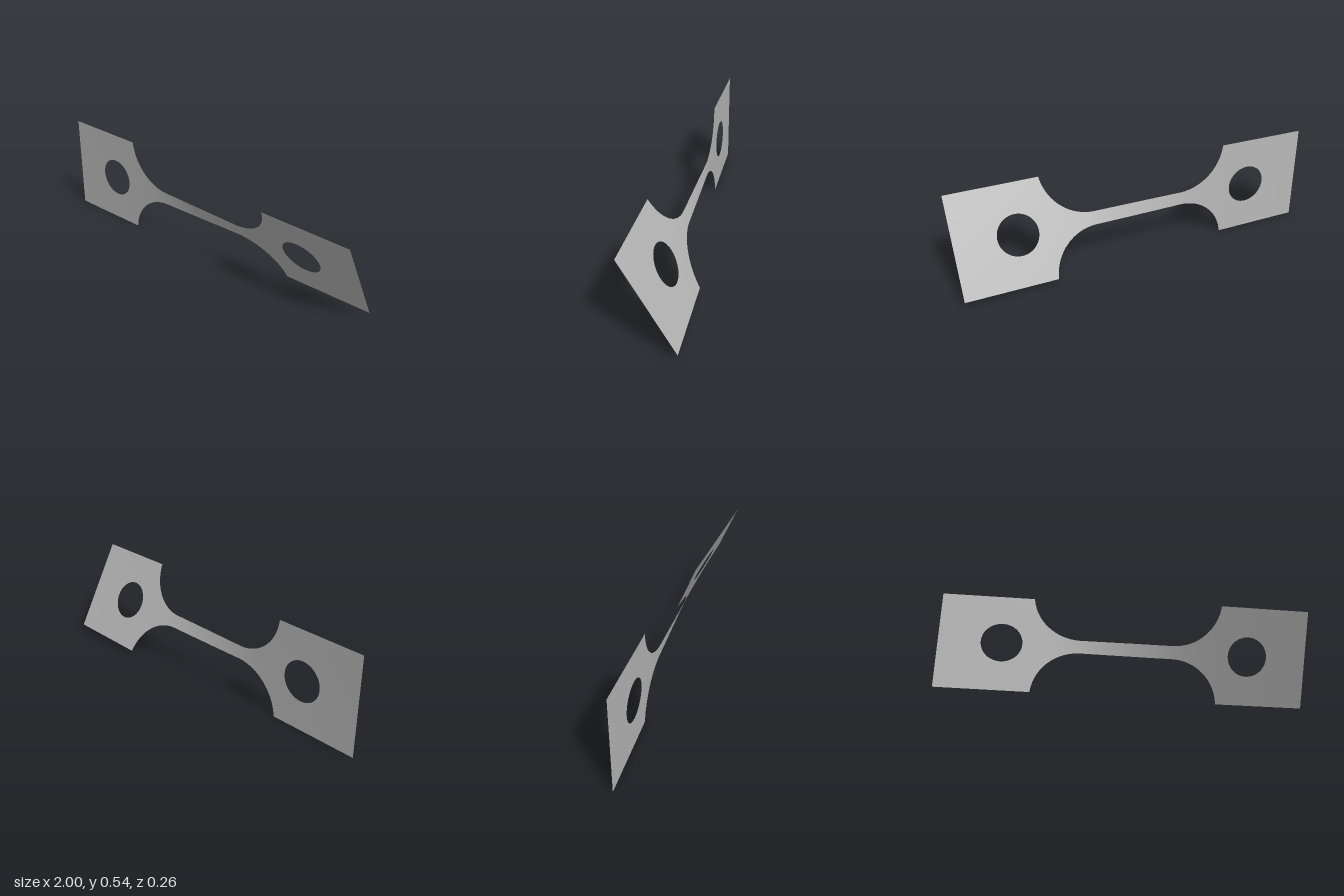
import * as THREE from 'three';
import { mergeVertices } from 'three/addons/utils/BufferGeometryUtils.js';

const HALF = 0.271;        // half height of the grips
const NECK = 0.036;        // half height of the neck
const R = 0.26;            // shoulder radius
const NECK_END = 0.25;     // where the shoulders begin
const HOLE_X = 0.67, HOLE_R = 0.109;
const TWIST = THREE.MathUtils.degToRad(28.9);
const ARC = Math.acos(1 - (HALF - NECK) / R);
const GRIP_START = NECK_END + R * Math.sin(ARC);

// Half height of the plate at x
function halfHeight(x) {
  const d = Math.abs(x) - NECK_END;
  if (d <= 0) return NECK;
  if (Math.abs(x) >= GRIP_START - 1e-9) return HALF;
  return NECK + R - Math.sqrt(R * R - d * d);
}

// Half height of the hole at x
function holeHeight(x) {
  const d = Math.abs(x) - HOLE_X;
  return Math.sqrt(Math.max(0, HOLE_R * HOLE_R - d * d));
}

// Narrow sections twist more: accumulate the twist along x
const STEPS = 400;
const twist = [0];
for (let i = 0; i < STEPS; i++) {
  const x = -1 + (2 * (i + 0.5)) / STEPS;
  twist.push(twist[i] + Math.pow(halfHeight(x), -1.3));
}
function angleAt(x) {
  const f = THREE.MathUtils.clamp(((x + 1) / 2) * STEPS, 0, STEPS);
  const i = Math.min(STEPS - 1, Math.floor(f));
  return (TWIST * THREE.MathUtils.lerp(twist[i], twist[i + 1], f - i)) / twist[STEPS];
}

// n + 1 values of f(t) for t from 0 to 1
const sample = (n, f) => Array.from({ length: n + 1 }, (_, i) => f(i / n));

// Twisted sheet over the given columns, as an upper and a lower strip
function sheet(columns, rows = 8) {
  const pos = [], index = [];
  for (const side of [1, -1]) {
    const base = pos.length / 3;
    columns.forEach((x, i) => {
      const a = angleAt(x), inner = holeHeight(x), outer = halfHeight(x);
      for (let j = 0; j <= rows; j++) {
        const v = side * THREE.MathUtils.lerp(inner, outer, j / rows);
        pos.push(x, HALF + v * Math.cos(a), v * Math.sin(a));
        if (i === 0 || j === 0) continue;
        const d = base + i * (rows + 1) + j, c = d - 1;
        const b = d - rows - 1, p = b - 1;
        if (side > 0) index.push(p, c, d, p, d, b);
        else index.push(p, d, c, p, b, d);
      }
    });
  }
  let geo = new THREE.BufferGeometry();
  geo.setAttribute('position', new THREE.Float32BufferAttribute(pos, 3));
  geo.setIndex(index);
  geo = mergeVertices(geo, 1e-5);
  geo.computeVertexNormals();
  return geo;
}

export function createModel() {
  const group = new THREE.Group();
  const metal = new THREE.MeshStandardMaterial({ color: 0xb8b8b8, side: THREE.DoubleSide });
  metal.name = 'grey metal';

  function add(name, columns) {
    const mesh = new THREE.Mesh(sheet(columns), metal);
    mesh.name = name;
    group.add(mesh);
  }

  // Grip columns, packed closely at both ends of the hole
  const grip = [
    ...sample(4, t => THREE.MathUtils.lerp(GRIP_START, HOLE_X - HOLE_R, t)),
    ...sample(32, t => HOLE_X - HOLE_R * Math.cos(Math.PI * t)).slice(1),
    ...sample(8, t => THREE.MathUtils.lerp(HOLE_X + HOLE_R, 1, t)).slice(1),
  ];
  // Shoulder columns at equal steps around the arc
  const shoulder = sample(24, t => NECK_END + R * Math.sin(ARC * t));
  const mirrored = xs => xs.map(x => -x).reverse();

  add('leftGrip', grip);
  add('rightGrip', mirrored(grip));
  // Both shoulders and the straight neck between them
  add('neck', [
    ...mirrored(shoulder),
    ...sample(40, t => THREE.MathUtils.lerp(-NECK_END, NECK_END, t)).slice(1, -1),
    ...shoulder,
  ]);
  return group;
}
